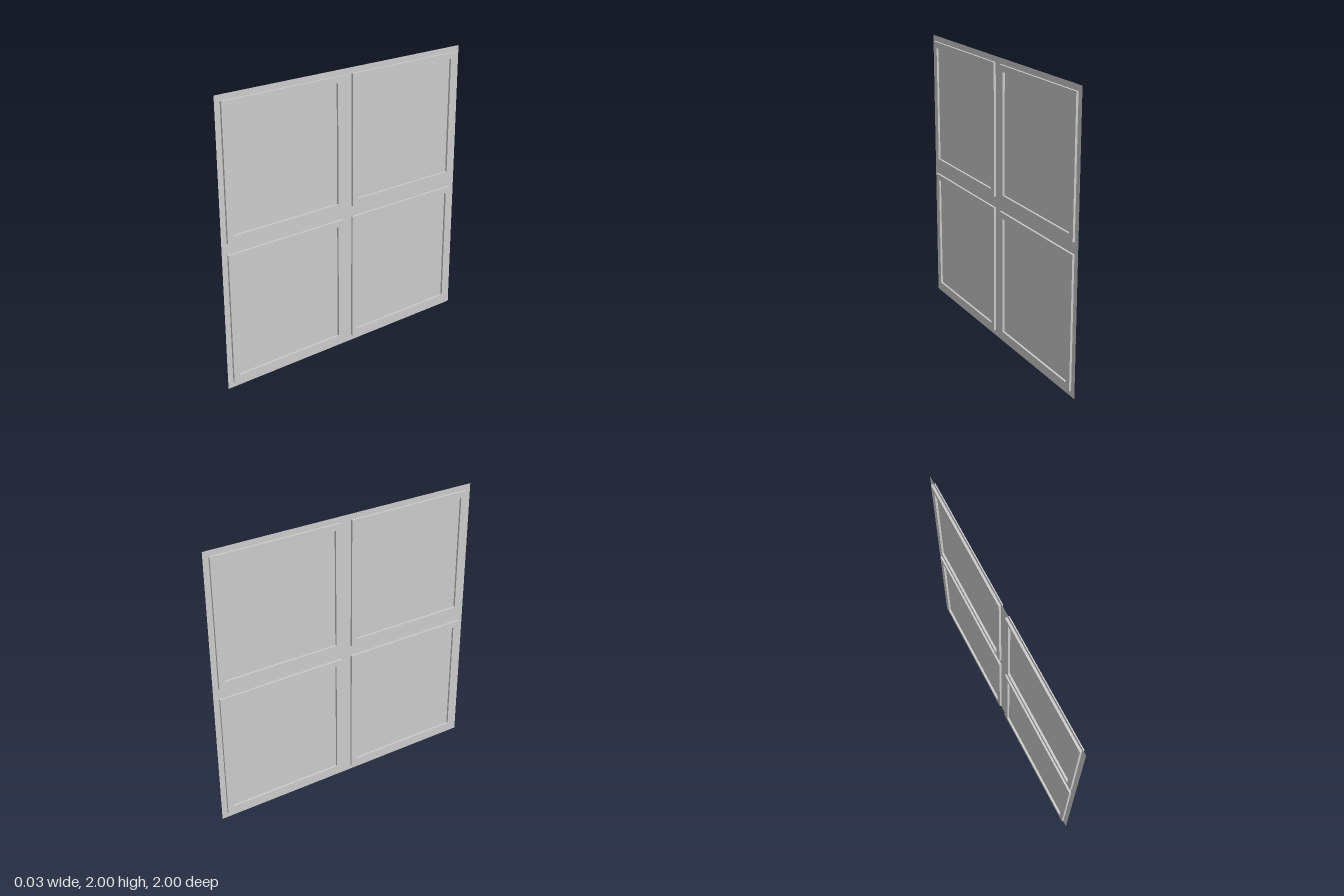
import * as THREE from 'three';

const material = new THREE.MeshStandardMaterial({ color: 0xcccccc });
const sheetMaterial = new THREE.MeshStandardMaterial({ color: 0xcccccc, side: THREE.DoubleSide });

const OUTER = 0.46;  // half width of a frame
const INNER = 0.417; // half width of its opening
const DEPTH = 0.03;

// Corners of a square, as a closed outline
function square(h, PathType) {
  return new PathType([[-h, -h], [h, -h], [h, h], [-h, h]].map(([x, y]) => new THREE.Vector2(x, y)));
}

export function createModel() {
  const model = new THREE.Group();
  model.name = 'fourPanelWindow';

  // Thin central sheet
  const sheet = new THREE.Mesh(new THREE.PlaneGeometry(2, 2).rotateY(Math.PI / 2), sheetMaterial);
  sheet.name = 'sheet';
  sheet.position.y = 1;
  model.add(sheet);

  // Square frame, standing out on both faces of the sheet
  const outline = square(OUTER, THREE.Shape);
  outline.holes.push(square(INNER, THREE.Path));
  const frameGeometry = new THREE.ExtrudeGeometry(outline, { depth: DEPTH, bevelEnabled: false })
    .translate(0, 0, -DEPTH / 2)
    .rotateY(Math.PI / 2);

  for (const [row, y] of [['lower', 0.5], ['upper', 1.5]]) {
    for (const [column, z] of [['Front', 0.5], ['Back', -0.5]]) {
      const frame = new THREE.Mesh(frameGeometry, material);
      frame.name = `${row}${column}Frame`;
      frame.position.set(0, y, z);
      model.add(frame);
    }
  }
  return model;
}
